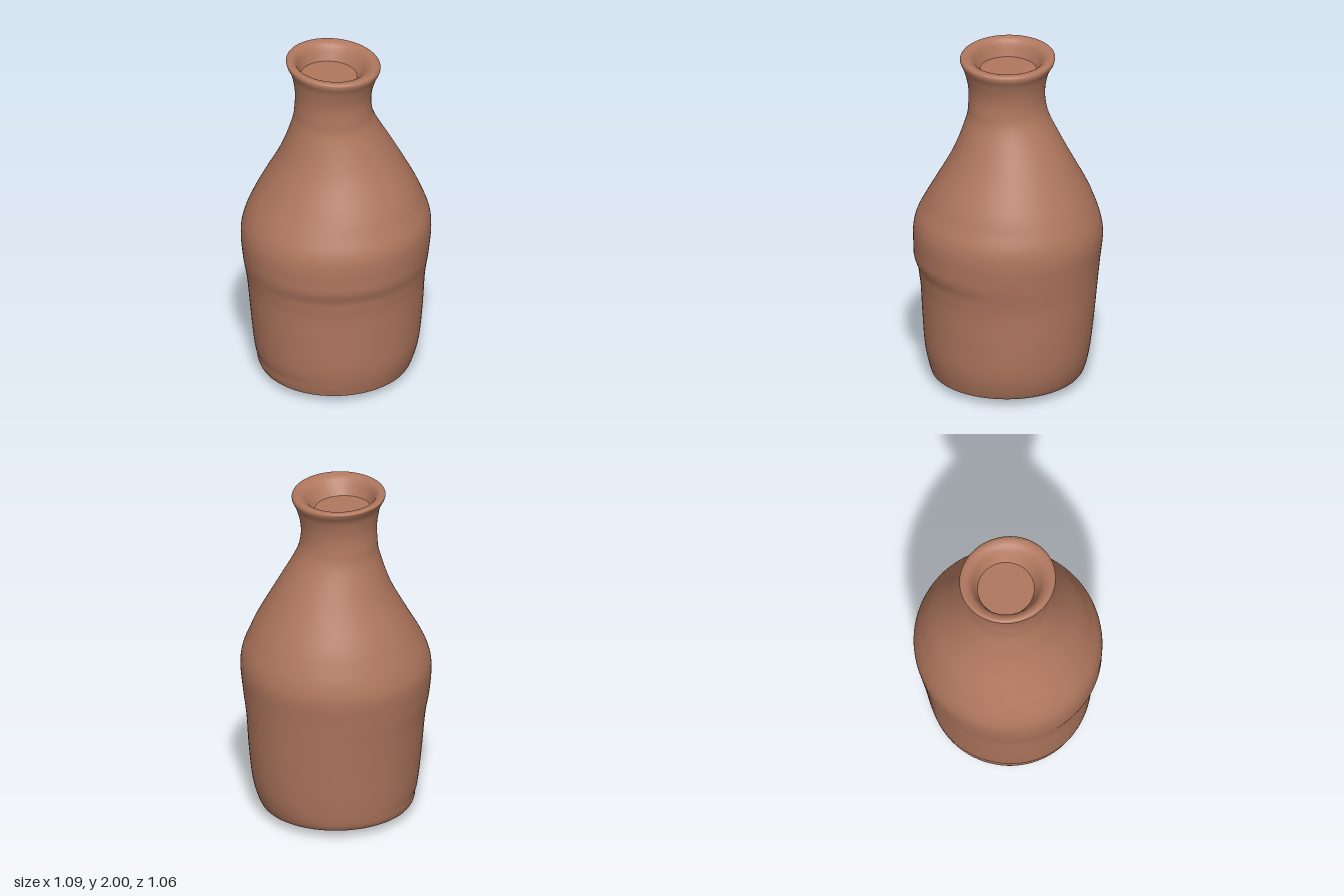
import * as THREE from 'three';

// Cross-sections from the base up and over the lip: [y, minX, maxX, minZ, maxZ]
const SECTIONS = [
  [0.0, 0, 0, 0, 0],
  [0.005, -0.2, 0.18, -0.18, 0.2],
  [0.025, -0.34, 0.32, -0.31, 0.33],
  [0.04, -0.42, 0.39, -0.38, 0.41],
  [0.07, -0.447, 0.43, -0.43, 0.432],
  [0.2, -0.475, 0.47, -0.452, 0.462],
  [0.4, -0.495, 0.495, -0.472, 0.475],
  [0.6, -0.51, 0.51, -0.495, 0.487],
  [0.75, -0.537, 0.525, -0.515, 0.517],
  [0.9, -0.545, 0.54, -0.53, 0.53],
  [1.0, -0.525, 0.53, -0.513, 0.52],
  [1.1, -0.477, 0.495, -0.478, 0.478],
  [1.2, -0.42, 0.45, -0.435, 0.433],
  [1.4, -0.315, 0.345, -0.33, 0.322],
  [1.6, -0.248, 0.233, -0.248, 0.232],
  [1.7, -0.234, 0.2, -0.23, 0.214],
  [1.8, -0.234, 0.2, -0.225, 0.214],
  [1.9, -0.252, 0.222, -0.245, 0.24],
  [1.955, -0.275, 0.246, -0.277, 0.264],
  [1.98, -0.273, 0.244, -0.287, 0.263],
  [1.987, -0.25, 0.222, -0.262, 0.238],
  [1.965, -0.22, 0.18, -0.225, 0.19],
  [1.89, -0.19, 0.13, -0.192, 0.13],
];
const SIDES = 96;
const STEPS = 6;

const spline = (points) => new THREE.CatmullRomCurve3(points, false, 'catmullrom', 0.5);
const halfSizes = spline(SECTIONS.map(([y, l, r, b, f]) => new THREE.Vector3((r - l) / 2, y, (f - b) / 2)));
const centres = spline(SECTIONS.map(([y, l, r, b, f]) => new THREE.Vector3((r + l) / 2, y, (f + b) / 2)));

// Soft bump around a height, strongest towards one compass angle
function dent(y, angle, height, width, towards, depth) {
  const side = Math.max(0, Math.cos(angle - towards));
  return depth * side * side * Math.exp(-(((y - height) / width) ** 2));
}

// Point on the hand-thrown surface
function surfacePoint(t, angle) {
  const size = halfSizes.getPoint(t);
  const centre = centres.getPoint(t);
  const y = size.y;
  const grow = 1
    + dent(y, angle, 0.69, 0.035, 2.1, -0.014)
    + dent(y, angle, 0.77, 0.03, 2.1, 0.008)
    + dent(y, angle, 0.12, 0.018, 3.5, -0.014);
  const lean = THREE.MathUtils.smoothstep(y, 1.8, 1.96);
  const x = centre.x + size.x * grow * Math.cos(angle);
  const z = centre.z + size.z * grow * Math.sin(angle);
  return [x, y - lean * (0.04 * x + 0.015 * z), z];
}

function bottleGeometry() {
  const rows = (SECTIONS.length - 1) * STEPS;
  const positions = [];
  const index = [];
  for (let i = 0; i <= rows; i++) {
    for (let j = 0; j < SIDES; j++) {
      positions.push(...surfacePoint(i / rows, (j / SIDES) * Math.PI * 2));
      if (i === rows) continue;
      const a = i * SIDES + j;
      const c = i * SIDES + ((j + 1) % SIDES);
      index.push(a, a + SIDES, c, c, a + SIDES, c + SIDES);
    }
  }
  const geometry = new THREE.BufferGeometry();
  geometry.setAttribute('position', new THREE.Float32BufferAttribute(positions, 3));
  geometry.setIndex(index);
  geometry.computeVertexNormals();
  return geometry;
}

// Flat disc closing the throat, meeting the inner wall at a crisp edge
function throatGeometry() {
  const geometry = new THREE.CircleGeometry(1, SIDES);
  const position = geometry.attributes.position;
  const centre = centres.getPoint(1);
  position.setXYZ(0, centre.x, centre.y - 0.04 * centre.x - 0.015 * centre.z, centre.z);
  for (let j = 0; j <= SIDES; j++) {
    position.setXYZ(j + 1, ...surfacePoint(1, (-j / SIDES) * Math.PI * 2));
  }
  geometry.computeVertexNormals();
  return geometry;
}

export function createModel() {
  const clay = new THREE.MeshStandardMaterial({ color: 0xb0775e });
  clay.name = 'terracotta';

  const model = new THREE.Group();
  model.name = 'clayBottle';

  const body = new THREE.Mesh(bottleGeometry(), clay);
  body.name = 'bottleBody';

  const throat = new THREE.Mesh(throatGeometry(), clay);
  throat.name = 'throatFloor';

  model.add(body, throat);
  return model;
}
